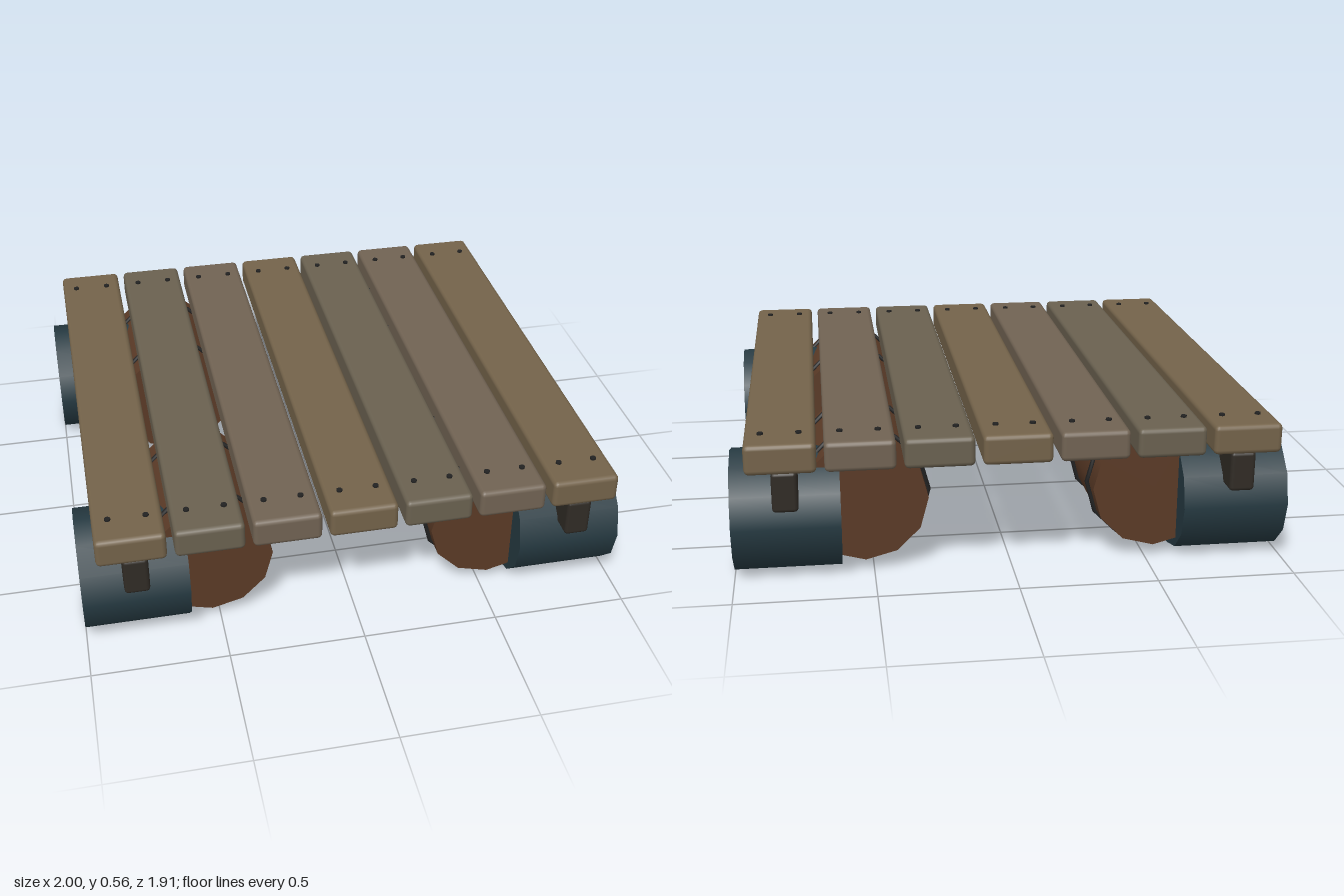
import * as THREE from 'three';
import { RoundedBoxGeometry } from 'three/addons/geometries/RoundedBoxGeometry.js';

const paint = (color) => new THREE.MeshStandardMaterial({ color });

export function createModel() {
  const model = new THREE.Group();
  const woods = [paint(0x74634a), paint(0x6a6150), paint(0x716353)];
  const beamWood = paint(0x302b25);
  const drumPaint = paint(0x263a42);
  const barrelWood = paint(0x5a3a26);
  const iron = paint(0x222222);

  const add = (parent, name, geometry, material, x, y, z) => {
    const mesh = new THREE.Mesh(geometry, material);
    mesh.name = name;
    mesh.position.set(x, y, z);
    parent.add(mesh);
    return mesh;
  };

  // Deck: seven planks, two nails at each end
  const plankGeo = new RoundedBoxGeometry(0.245, 0.108, 1.91, 2, 0.018);
  const nailGeo = new THREE.CylinderGeometry(0.011, 0.011, 0.02, 8);
  for (let i = 0; i < 7; i++) {
    const plank = new THREE.Group();
    plank.name = 'plank' + (i + 1);
    plank.position.x = (i - 3) * 0.272;
    model.add(plank);
    add(plank, 'board', plankGeo, woods[i % 3], 0, 0.502, 0);
    for (const sx of [-1, 1])
      for (const sz of [-1, 1]) add(plank, 'nail', nailGeo, iron, sx * 0.066, 0.553, sz * 0.833);
  }

  // Shared geometry for the supports and floats
  const beamGeo = new RoundedBoxGeometry(0.09, 0.147, 1.89, 2, 0.014);
  const drumGeo = new THREE.CylinderGeometry(0.222, 0.222, 0.385, 12).rotateZ(Math.PI / 2);
  const barrelGeo = new THREE.CylinderGeometry(0.23, 0.23, 0.515, 12).rotateX(Math.PI / 2);
  const hoopGeo = new THREE.TorusGeometry(0.236, 0.009, 6, 12);

  for (const sx of [-1, 1]) {
    const side = sx > 0 ? 'left' : 'right';
    // Long beam under the outer planks
    add(model, side + 'Beam', beamGeo, beamWood, sx * 0.805, 0.379, 0);
    for (const sz of [-1, 1]) {
      const corner = side + (sz > 0 ? 'Front' : 'Back');
      // Drum lying across the raft
      add(model, corner + 'Drum', drumGeo, drumPaint, sx * 0.8075, 0.222, sz * 0.667);
      // Hooped barrel lying along the raft
      const barrel = new THREE.Group();
      barrel.name = corner + 'Barrel';
      barrel.position.set(sx * 0.53, 0.275, sz * 0.5275);
      model.add(barrel);
      add(barrel, 'barrelBody', barrelGeo, barrelWood, 0, 0, 0);
      for (const hz of [-0.168, 0.168]) add(barrel, 'hoop', hoopGeo, iron, 0, 0, hz);
    }
  }
  return model;
}
